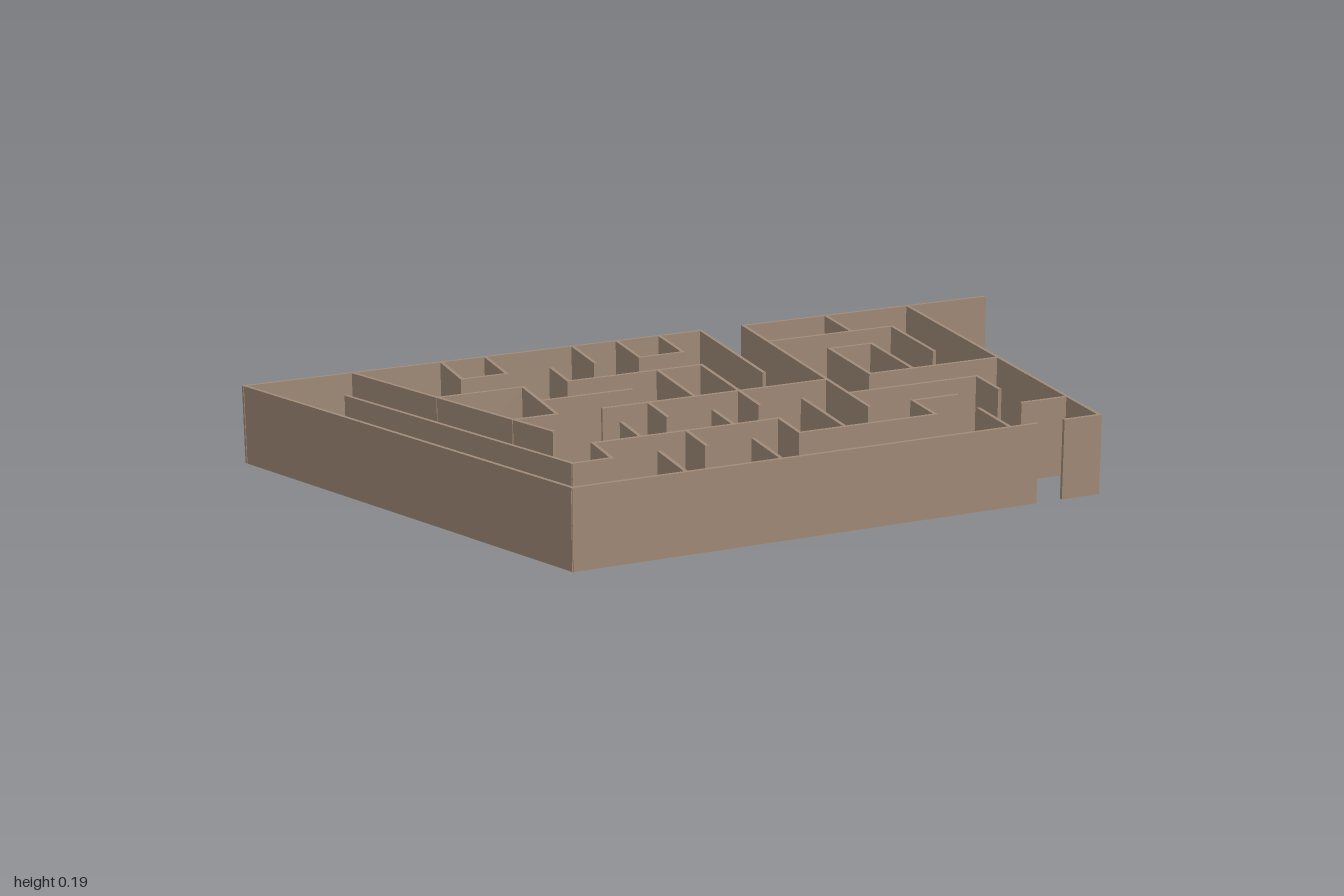
import * as THREE from 'three';

const HEIGHT = 0.195, THICK = 0.009;

// Grid lines the maze is laid out on
const X = { a: -0.5, b: -0.386, c: -0.27, d: -0.157, e: -0.039, f: 0.076, g: 0.19, h: 0.307, i: 0.422, j: 0.537, k: 0.651, l: 0.771 };
const Z = [-0.5, -0.346, -0.23, -0.112, 0, 0.118, 0.231, 0.347, 0.5];

// "b6" -> grid point; [x, z] pairs pass through
const point = (p) => (typeof p === 'string' ? [X[p[0]], Z[+p[1]]] : p);

export function createModel() {
  const model = new THREE.Group();
  const wallMaterial = new THREE.MeshStandardMaterial({ color: 0xa08a77 });
  wallMaterial.name = 'taupe wall';

  // One thin upright slab per segment of each path
  function addWalls(name, paths) {
    const group = new THREE.Group();
    group.name = name;
    for (const path of paths) {
      const pts = path.map(point);
      for (let n = 0; n + 1 < pts.length; n++) {
        const [x0, z0] = pts[n], [x1, z1] = pts[n + 1];
        const length = Math.hypot(x1 - x0, z1 - z0) + THICK;
        const wall = new THREE.Mesh(new THREE.BoxGeometry(length, HEIGHT, THICK), wallMaterial);
        wall.name = 'wall';
        wall.position.set((x0 + x1) / 2, HEIGHT / 2, (z0 + z1) / 2);
        wall.rotation.y = -Math.atan2(z1 - z0, x1 - x0);
        group.add(wall);
      }
    }
    model.add(group);
  }

  // Perimeter with a back gap and a front doorway
  addWalls('outerWalls', [
    ['g0', [-0.995, -0.5], [-0.539, 0.5], [0.605, 0.5]],
    [[0.681, 0.5], 'l8', 'l0'],
    ['h0', [0.995, -0.5]],
  ]);

  // Slanted corridors
  addWalls('slantedWalls', [
    [[-0.727, -0.5], [-0.44, 0.115]],
    [[-0.793, -0.327], [-0.48, 0.347], 'b7', 'b6', 'f6', 'f7', 'i7', 'i6', 'j6'],
    [[-0.601, -0.23], 'b2', 'b4', [-0.494, 0]],
  ]);

  // Back left alcoves and passages
  addWalls('backLeftMaze', [
    ['a0', 'a1', 'b1', 'b0'],
    ['e0', 'e1', 'f1', 'f0'],
    ['d0', 'd1'], ['g0', 'g3'], ['b3', 'd3'],
    ['c1', 'c2', 'f2', 'f5'], ['e2', 'e4'],
    ['c4', 'h4'], ['d4', 'd5'],
  ]);

  // Front row of short dividers
  addWalls('frontMaze', [
    ['c5', 'c6'], ['e5', 'e6'], ['d6', 'd7'], ['g5', 'g7'],
    ['c7', 'c8'], ['e7', 'e8'], ['j7', 'j8'], ['k7', 'l7'],
  ]);

  // Right-hand rooms
  addWalls('rightMaze', [
    ['h0', 'h6'], ['h1', 'k1', 'k3'], ['j0', 'j1'],
    ['l4', 'i4', 'i2', 'j2', 'j4'],
    ['h5', 'k5', 'k6'],
  ]);

  return model;
}
